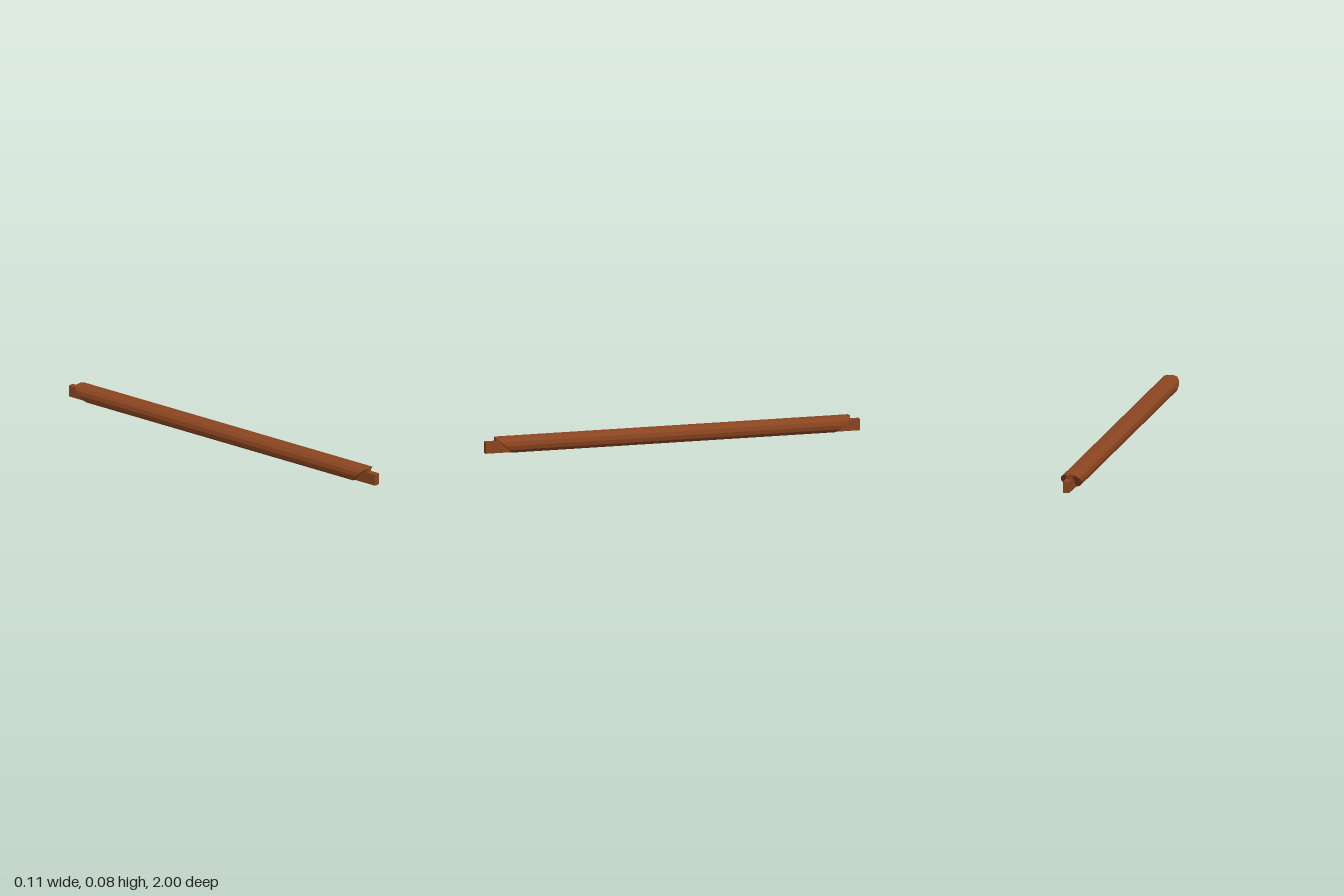
import * as THREE from 'three';

const wood = new THREE.MeshStandardMaterial({ color: 0x8b4520 });
wood.name = 'brown wood';

const TENON_HALF = 0.016;   // half width of tenon and mortise
const SLOT_END = 0.1;       // half length of the mortise
const SLOT_TOP = 0.055;     // depth of the mortise
const CUT_START = 0.864;    // where the 45 degree undercut meets the underside

// Right half of the rounded section, from the underside up to the top
const half = [
  [0.018, 0], [0.035, 0.006], [0.049, 0.02], [0.054, 0.041],
  [0.049, 0.062], [0.035, 0.077], [0.018, 0.082],
];

function section(notched) {
  const pts = [...half, ...half.map(([x, y]) => [-x, y]).reverse()];
  if (notched) {
    pts.push([-TENON_HALF, 0], [-TENON_HALF, SLOT_TOP], [TENON_HALF, SLOT_TOP], [TENON_HALF, 0]);
  }
  return new THREE.Shape(pts.map(([x, y]) => new THREE.Vector2(x, y)));
}

function extrude(shape, depth) {
  return new THREE.ExtrudeGeometry(shape, { depth, bevelEnabled: false });
}

function addMesh(parent, name, geometry) {
  const mesh = new THREE.Mesh(geometry, wood);
  mesh.name = name;
  parent.add(mesh);
  return mesh;
}

// One end of the beam, pointing to +z
function makeEnd(name) {
  const end = new THREE.Group();
  end.name = name;

  // Solid beam with its end face slanted out towards the top
  const beam = extrude(section(false), 1);
  const p = beam.attributes.position;
  for (let i = 0; i < p.count; i++) {
    p.setZ(i, p.getZ(i) > 0.5 ? CUT_START + p.getY(i) : SLOT_END);
  }
  beam.computeVertexNormals();
  addMesh(end, 'beamHalf', beam);

  // Stepped tenon: full height under the undercut, lower at the tip
  const side = [[0.8, 0.002], [1, 0.002], [1, 0.061], [0.947, 0.061], [0.947, 0.081], [0.8, 0.081]];
  const tenon = extrude(new THREE.Shape(side.map(([z, y]) => new THREE.Vector2(z, y))), TENON_HALF * 2);
  tenon.translate(0, 0, -TENON_HALF).rotateY(-Math.PI / 2);
  addMesh(end, 'tenon', tenon);
  return end;
}

export function createModel() {
  const model = new THREE.Group();
  model.name = 'woodenRail';

  // Middle of the beam with the mortise in its underside
  const middle = extrude(section(true), SLOT_END * 2).translate(0, 0, -SLOT_END);
  addMesh(model, 'mortisedMiddle', middle);

  // Matching ends, turned to face each way
  model.add(makeEnd('frontEnd'));
  const back = makeEnd('backEnd');
  back.rotation.y = Math.PI;
  model.add(back);
  return model;
}
